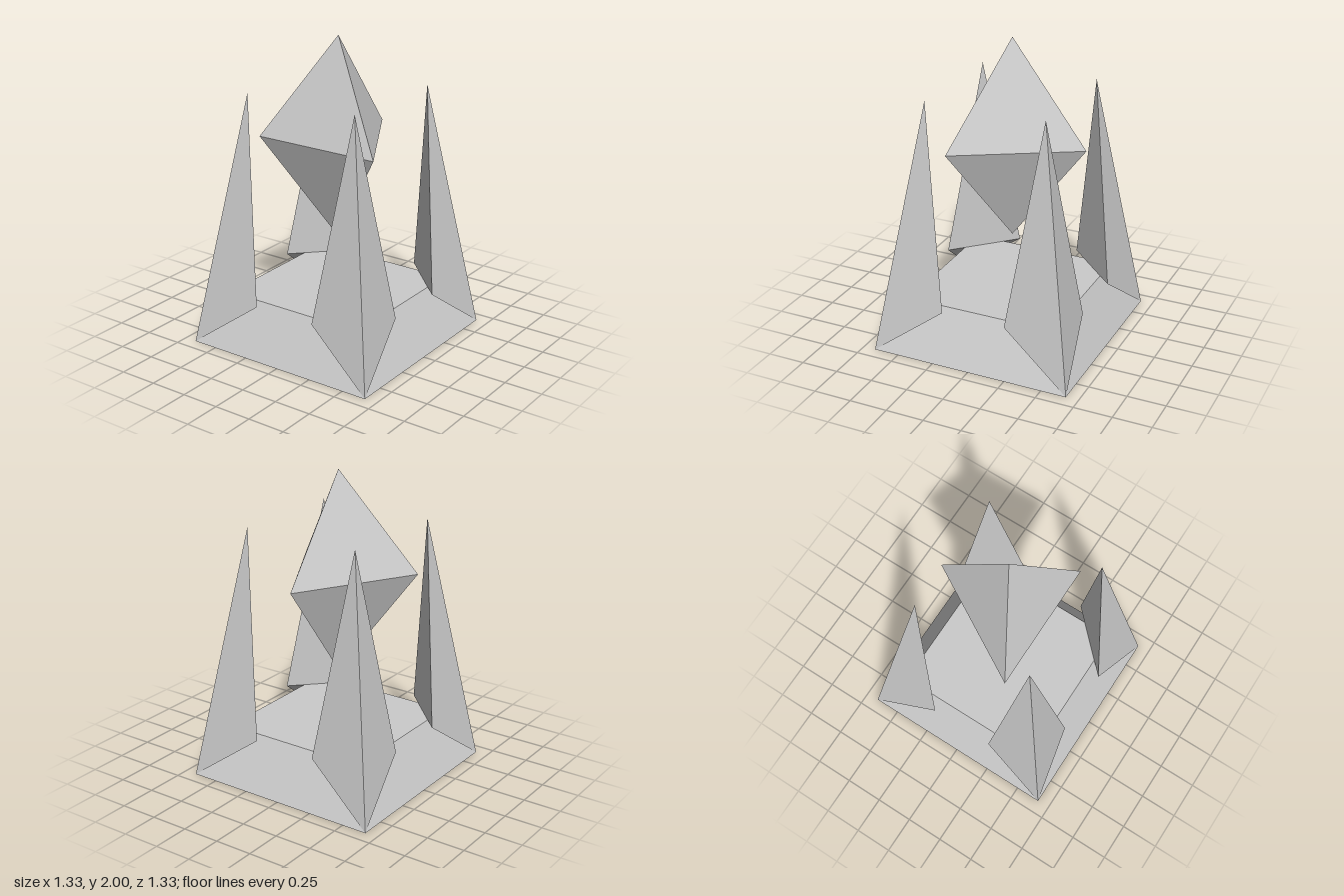
import * as THREE from 'three';
import { ConvexGeometry } from 'three/addons/geometries/ConvexGeometry.js';

export function createModel() {
  const model = new THREE.Group();
  const material = new THREE.MeshStandardMaterial({ color: 0xcccccc, flatShading: true });

  const add = (name, geometry) => {
    const mesh = new THREE.Mesh(geometry, material);
    mesh.name = name;
    model.add(mesh);
    return mesh;
  };

  // Square base with sloping sides
  const base = new THREE.CylinderGeometry(0.5 * Math.SQRT2, 0.667 * Math.SQRT2, 0.333, 4);
  base.rotateY(Math.PI / 4).translate(0, 0.1665, 0);
  add('base', base);

  // Four three-sided spikes rising from the corners, with upright inner faces
  for (const [sx, sz, name] of [
    [1, 1, 'frontLeftSpike'], [-1, 1, 'frontRightSpike'],
    [1, -1, 'backLeftSpike'], [-1, -1, 'backRightSpike'],
  ]) {
    const corners = [
      [0.667, 0, 0.667], [0.586, 0.333, 0.214], [0.214, 0.333, 0.586], [0.4, 1.66, 0.4],
    ].map(([x, y, z]) => new THREE.Vector3(x * sx, y, z * sz));
    add(name, new ConvexGeometry(corners));
  }

  // Floating crystal: a three-sided double pyramid with one corner to the back
  const profile = [[0, 0.673], [0.5, 1.335], [0, 2]].map(([r, y]) => new THREE.Vector2(r, y));
  add('crystal', new THREE.LatheGeometry(profile, 3, Math.PI));

  return model;
}
